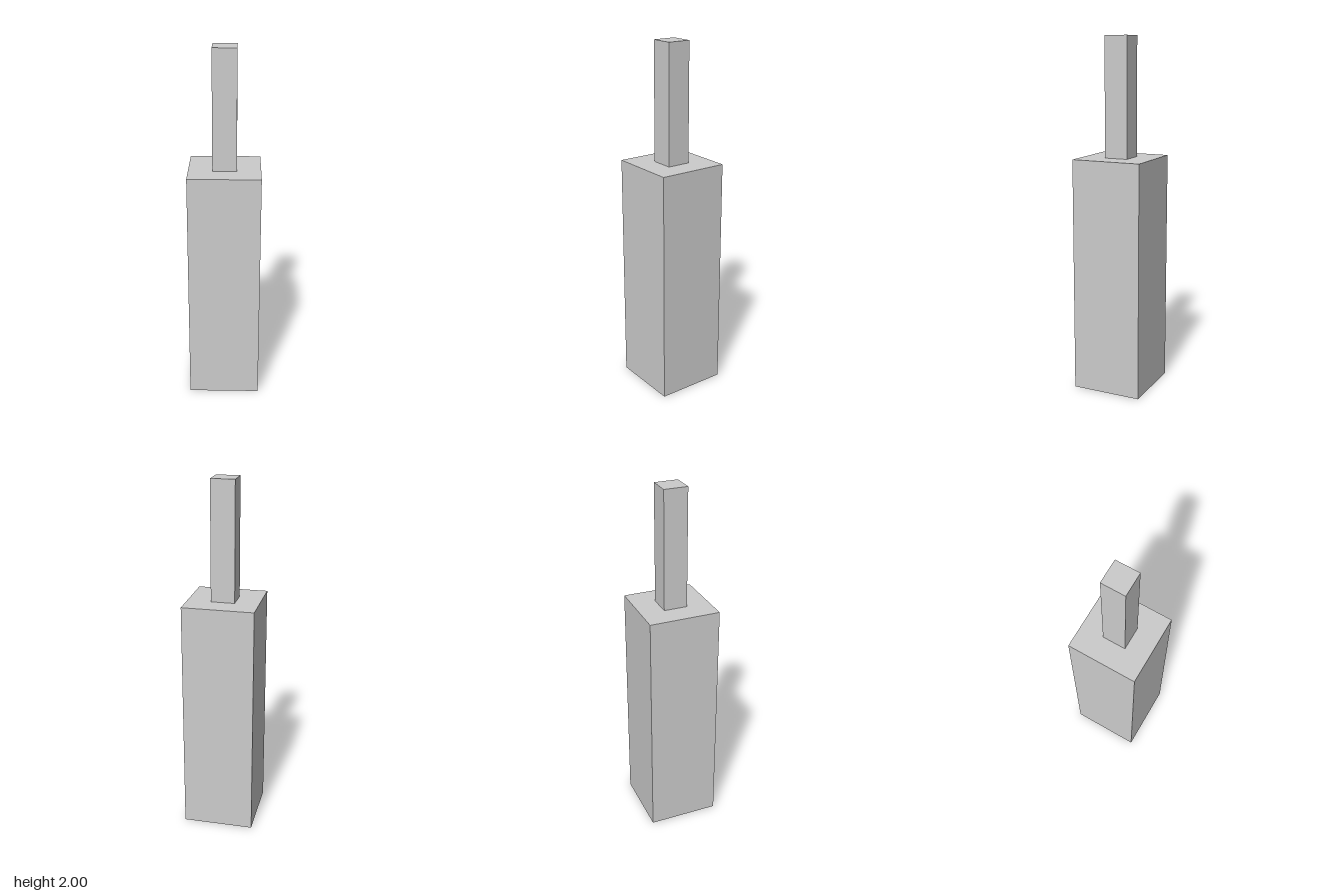
import * as THREE from 'three';

const material = new THREE.MeshStandardMaterial({ color: 0xcccccc, flatShading: true });

// Square pillar standing on height y
function pillar(name, width, height, y) {
  const mesh = new THREE.Mesh(new THREE.BoxGeometry(width, height, width), material);
  mesh.name = name;
  mesh.position.y = y + height / 2;
  return mesh;
}

export function createModel() {
  const group = new THREE.Group();
  const bodyHeight = 4 / 3;

  // Wide lower block with a slim post centred on top
  group.add(pillar('body', 0.4, bodyHeight, 0));
  group.add(pillar('post', 0.4 / 3, 2 - bodyHeight, bodyHeight));
  return group;
}
